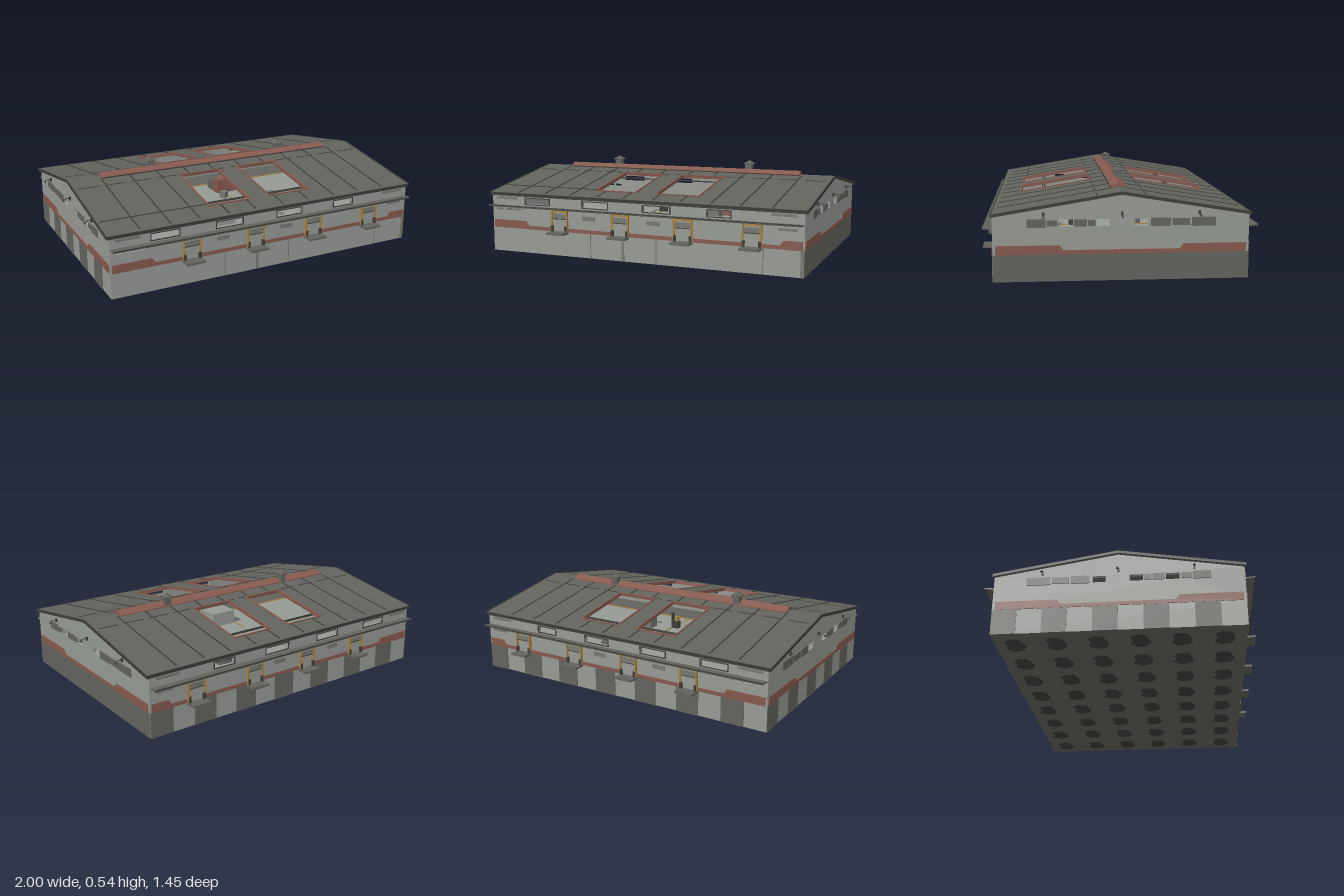
import * as THREE from 'three';

const mat = (name, color, double) => {
  const m = new THREE.MeshStandardMaterial({ color });
  m.name = name;
  if (double) m.side = THREE.DoubleSide;
  return m;
};

export function createModel() {
  const root = new THREE.Group();
  root.name = 'warehouse';
  const wall = mat('pale concrete', 0x959993);
  const roofM = mat('roof grey', 0x62625d);
  const mid = mat('panel grey', 0x747771);
  const trim = mat('dark trim', 0x3d3d3a);
  const red = mat('rust red', 0x85594e);
  const yellow = mat('safety ochre', 0xa9823f);

  const add = (parent, name, geo, m, x = 0, y = 0, z = 0) => {
    const mesh = new THREE.Mesh(geo, m);
    mesh.name = name;
    mesh.position.set(x, y, z);
    parent.add(mesh);
    return mesh;
  };
  const box = (parent, name, m, w, h, d, x, y, z) =>
    add(parent, name, new THREE.BoxGeometry(w, h, d), m, x, y, z);
  const poly = (pts) => new THREE.Shape(pts.map(([x, y]) => new THREE.Vector2(x, y)));
  const rect = (x0, x1, y0, y1) => poly([[x0, y0], [x1, y0], [x1, y1], [x0, y1]]);
  const extrude = (shape, depth, holes = []) => {
    shape.holes.push(...holes);
    return new THREE.ExtrudeGeometry(shape, { depth, bevelEnabled: false });
  };
  // Places an extruded plate on a long wall (s = front/back) or a gable (s = right/left)
  const longPlate = (name, geo, depth, m, s, out) =>
    add(root, name, geo, m, 0, 0, s > 0 ? out - depth : -out);
  const gablePlate = (name, geo, depth, m, s, out) => {
    const mesh = add(root, name, geo, m, s > 0 ? out : -out + depth, 0, 0);
    mesh.rotation.y = -Math.PI / 2;
  };

  // Plinth with the floor on top
  const floorY = 0.145;
  box(root, 'plinth', [roofM, wall, wall, roofM, wall, wall], 1.9, 0.142, 1.32, 0, 0.074, 0);
  for (let i = 0; i < 7; i++) {
    box(root, 'plinthPanelBack', roofM, 0.136, 0.142, 0.004, 0.88 - i * 0.272, 0.074, -0.661);
  }
  for (let i = 0; i < 5; i++) {
    box(root, 'plinthPanelLeft', roofM, 0.004, 0.142, 0.132, -0.951, 0.074, -0.594 + i * 0.264);
  }
  for (const [x, w] of [[-0.29, 0.004], [-0.085, 0.016], [0.12, 0.004], [0.73, 0.004], [0.94, 0.02]]) {
    box(root, 'plinthJoint', mid, w, 0.142, 0.004, x, 0.074, 0.661);
  }

  // Irregular dark patches under the slab
  const patch = new THREE.ShapeGeometry(poly([[-0.075, -0.02], [-0.05, -0.055], [0, -0.045], [0.04, -0.06],
    [0.075, -0.02], [0.06, 0.03], [0.02, 0.05], [-0.03, 0.04], [-0.065, 0.025]]));
  for (let i = 0; i < 8; i++) for (let j = 0; j < 6; j++) {
    const p = add(root, 'undersidePatch', patch, trim, -0.82 + i * 0.235, 0, -0.55 + j * 0.22);
    p.rotation.x = Math.PI / 2;
  }

  // Long walls with clerestory windows, loading doors and canopy
  const doorXs = [-0.49, -0.1, 0.28, 0.67];
  const windows = [[-0.72, -0.56], [-0.34, -0.18], [0.04, 0.2], [0.42, 0.55]];
  const toilets = [[-0.92, -0.875], [-0.86, -0.81], [-0.8, -0.75]];
  const band = (L, a, b) => poly([[-L, floorY], [L, floorY], [L, 0.192], [b + 0.02, 0.192],
    [b, 0.166], [a, 0.166], [a - 0.02, 0.192], [-L, 0.192]]);
  for (const s of [1, -1]) {
    const z = (v) => s * v;
    const holes = [...windows.map(([a, b]) => rect(a, b, 0.293, 0.327)),
      ...toilets.map(([a, b]) => rect(a, b, 0.248, 0.264))];
    longPlate('longWall', extrude(rect(-0.95, 0.95, floorY, 0.352), 0.02, holes), 0.02, wall, s, 0.66);
    longPlate('redBand', extrude(band(0.94, -0.7, 0.82), 0.005), 0.005, red, s, 0.664);
    for (const [a, b] of windows) {
      const rim = extrude(rect(a - 0.005, b + 0.005, 0.288, 0.332), 0.006, [rect(a, b, 0.293, 0.327)]);
      longPlate('windowFrame', rim, 0.006, trim, s, 0.664);
    }
    for (const [x, y, w, h] of [[-0.85, 0.325, 0.14, 0.014], [0.84, 0.325, 0.14, 0.014],
      [-0.3, 0.232, 0.08, 0.024], [0.1, 0.232, 0.08, 0.024], [0.86, 0.25, 0.1, 0.014]]) {
      box(root, 'wallPlate', mid, w, h, 0.006, x, y, z(0.662));
    }
    for (const x of doorXs) {
      box(root, 'door', wall, 0.09, 0.085, 0.006, x, 0.19, z(0.663));
      box(root, 'doorRoller', mid, 0.09, 0.028, 0.012, x, 0.236, z(0.664));
      box(root, 'doorRail', trim, 0.09, 0.005, 0.012, x, 0.22, z(0.664));
      for (const e of [-1, 1]) {
        box(root, 'doorPost', yellow, 0.01, 0.115, 0.018, x + e * 0.05, 0.203, z(0.666));
        box(root, 'dockBumper', trim, 0.014, 0.035, 0.012, x + e * 0.045, 0.162, z(0.672));
      }
      box(root, 'doorLintel', yellow, 0.11, 0.01, 0.018, x, 0.264, z(0.666));
      box(root, 'dockPlatform', roofM, 0.11, 0.012, 0.07, x, 0.14, z(0.69));
    }
    const canopy = box(root, 'canopy', roofM, 1.89, 0.007, 0.056, 0, 0.28, z(0.684));
    canopy.rotation.x = -s * 0.1;
    box(root, 'canopyEdge', trim, 1.89, 0.01, 0.004, 0, 0.282, z(0.71));
    box(root, 'gutter', trim, 1.92, 0.012, 0.012, 0, 0.347, z(0.663));
  }

  // Gable walls with a strip of openings and shutters
  const gableWins = [[0.25, 0.32], [0.06, 0.13], [-0.135, -0.065]];
  const shutters = [[0.39, 0.485, 0.044], [0.33, 0.385, 0.03], [0.18, 0.245, 0.036], [0.135, 0.175, 0.03],
    [-0.25, -0.15, 0.044], [-0.35, -0.26, 0.036], [-0.485, -0.36, 0.046]];
  for (const s of [1, -1]) {
    const shape = poly([[-0.66, floorY], [0.66, floorY], [0.66, 0.343], [0, 0.452], [-0.66, 0.343]]);
    const holes = gableWins.map(([a, b]) => rect(a, b, 0.288, 0.324));
    gablePlate('gableWall', extrude(shape, 0.02, holes), 0.02, wall, s, 0.95);
    gablePlate('gableRedBand', extrude(band(0.645, -0.3, 0.3), 0.005), 0.005, red, s, 0.954);
    for (const [a, b, h] of shutters) {
      box(root, 'gableShutter', roofM, 0.008, h, b - a, s * 0.951, 0.306, (a + b) / 2);
    }
    for (const z of [-0.4, 0, 0.4]) {
      // Curved lamp arm
      const arm = new THREE.QuadraticBezierCurve3(new THREE.Vector3(s * 0.95, 0.352, z),
        new THREE.Vector3(s * 0.985, 0.362, z), new THREE.Vector3(s * 0.995, 0.346, z));
      add(root, 'lampArm', new THREE.TubeGeometry(arm, 6, 0.0025, 5), trim);
      add(root, 'lampHead', new THREE.CylinderGeometry(0.004, 0.007, 0.01, 8), trim, s * 0.993, 0.345, z);
      box(root, 'lampBracket', trim, 0.01, 0.02, 0.012, s * 0.954, 0.353, z);
    }
  }

  // Roof slopes: local y runs up the slope, local z is the outward normal
  const ridgeY = 0.464, pitch = Math.atan(0.11 / 0.667), c = Math.cos(pitch);
  const len = 0.667 / c, s0 = 0.135 / c, s1 = 0.53 / c;
  for (const back of [0, 1]) {
    const pivot = new THREE.Group();
    pivot.name = back ? 'backRoof' : 'frontRoof';
    pivot.position.y = ridgeY;
    pivot.rotation.y = back * Math.PI;
    root.add(pivot);
    const slope = new THREE.Group();
    slope.name = 'roofSlope';
    slope.rotation.x = pitch - Math.PI / 2;
    pivot.add(slope);
    const openings = [[-0.32, -0.07], [0.065, 0.32]].map(([a, b]) => (back ? [-b, -a] : [a, b]));
    const sheet = extrude(rect(-0.965, 0.965, -len, 0), 0.012, openings.map(([a, b]) => rect(a, b, -s1, -s0)));
    add(slope, 'roofSheet', sheet, roofM, 0, 0, -0.012);
    for (const [a, b] of openings) {
      const rim = extrude(rect(a - 0.006, b + 0.006, -s1 - 0.006, -s0 + 0.006), 0.02,
        [rect(a + 0.002, b - 0.002, -s1 + 0.002, -s0 - 0.002)]);
      add(slope, 'skylightFrame', rim, red, 0, 0, -0.014);
    }
    const seam = (x, from, to) =>
      box(slope, 'roofSeam', trim, 0.007, to - from, 0.004, x, -(from + to) / 2, 0.001);
    for (const e of [-1, 1]) {
      for (const x of [0.43, 0.6, 0.775]) seam(e * x, 0.04, 0.65);
      for (const x of [0.09, 0.255]) { seam(e * x, 0.04, s0 - 0.006); seam(e * x, s1 + 0.006, 0.65); }
      box(slope, 'vergeTrim', trim, 0.006, len, 0.016, e * 0.965, -len / 2, -0.005);
    }
    for (let i = 0; i < 12; i++) {
      box(slope, 'crossSeam', trim, 0.12, 0.005, 0.003, -0.88 + i * 0.16, -0.128, 0.001);
    }
    if (!back) box(slope, 'lowerSeam', trim, 0.62, 0.006, 0.004, -0.635, -0.517, 0.001);
    box(slope, 'eaveTrim', trim, 1.93, 0.006, 0.018, 0, -len, -0.007);
  }

  // Red ridge cap and two vents
  const cap = extrude(poly([[-0.046, 0.455], [0.042, 0.455], [0.042, 0.462], [0, 0.485], [-0.046, 0.462]]), 1.53);
  add(root, 'ridgeCap', cap, red, 0.76).rotation.y = -Math.PI / 2;
  box(root, 'ridgeCapShadowBoard', trim, 1.53, 0.006, 0.004, -0.005, 0.462, 0.043);
  for (const x of [-0.445, 0.437]) {
    box(root, 'ventStack', roofM, 0.042, 0.055, 0.042, x, 0.488, -0.022);
    const hat = add(root, 'ventHat', new THREE.ConeGeometry(0.044, 0.022, 4), roofM, x, 0.525, -0.022);
    hat.rotation.y = Math.PI / 4;
    box(root, 'ventHatEdge', trim, 0.058, 0.004, 0.058, x, 0.514, -0.022);
  }

  // Interior floor markings and side walkways
  for (const s of [1, -1]) {
    box(root, 'walkway', roofM, 1.84, 0.004, 0.19, 0, floorY + 0.002, s * 0.545);
    box(root, 'floorLine', yellow, 1.84, 0.005, 0.008, 0, floorY + 0.003, s * 0.446);
    for (const x of [-0.245, 0.16]) {
      box(root, 'bayLine', yellow, 0.007, 0.004, 0.33, x, floorY + 0.002, s * 0.28);
    }
    // Overhead pipe runs
    for (const d of [0, 0.014]) {
      const pipe = add(root, 'pipe', new THREE.CylinderGeometry(0.004, 0.004, 1.86, 6), trim, 0, 0.342, s * (0.394 + d));
      pipe.rotation.z = Math.PI / 2;
    }
  }
  box(root, 'floorStrip', roofM, 0.07, 0.004, 0.2, -0.285, floorY + 0.001, 0.34);

  // Stored goods and machines
  box(root, 'redContainer', red, 0.165, 0.09, 0.075, 0.205, floorY + 0.045, -0.285);
  box(root, 'workbench', roofM, 0.165, 0.06, 0.075, 0.205, floorY + 0.03, -0.362);
  box(root, 'cabinet', mid, 0.05, 0.11, 0.07, 0.295, floorY + 0.055, 0.17);
  box(root, 'paleContainer', wall, 0.17, 0.09, 0.16, -0.16, floorY + 0.045, 0.3);
  box(root, 'crate', mid, 0.05, 0.04, 0.04, 0.125, floorY + 0.02, -0.16).rotation.y = 0.7;
  for (const [x, z] of [[-0.24, -0.26], [0.135, 0.235]]) {
    box(root, 'machineBody', trim, 0.045, 0.05, 0.03, x, floorY + 0.025, z);
    box(root, 'machineHead', yellow, 0.025, 0.03, 0.025, x - 0.005, floorY + 0.065, z);
    box(root, 'machineMast', trim, 0.008, 0.1, 0.02, x + 0.026, floorY + 0.05, z);
  }
  const tyre = add(root, 'tyre', new THREE.TorusGeometry(0.011, 0.005, 6, 12), trim, 0.17, floorY + 0.008, 0.32);
  tyre.rotation.x = Math.PI / 2;
  for (const [x, z] of [[-0.31, -0.3], [-0.1, -0.45], [0.3, 0.28], [0.09, 0.3], [-0.25, 0.34]]) {
    add(root, 'floorStain', new THREE.CylinderGeometry(0.02, 0.02, 0.003, 7), mid, x, floorY + 0.001, z);
  }

  return root;
}
